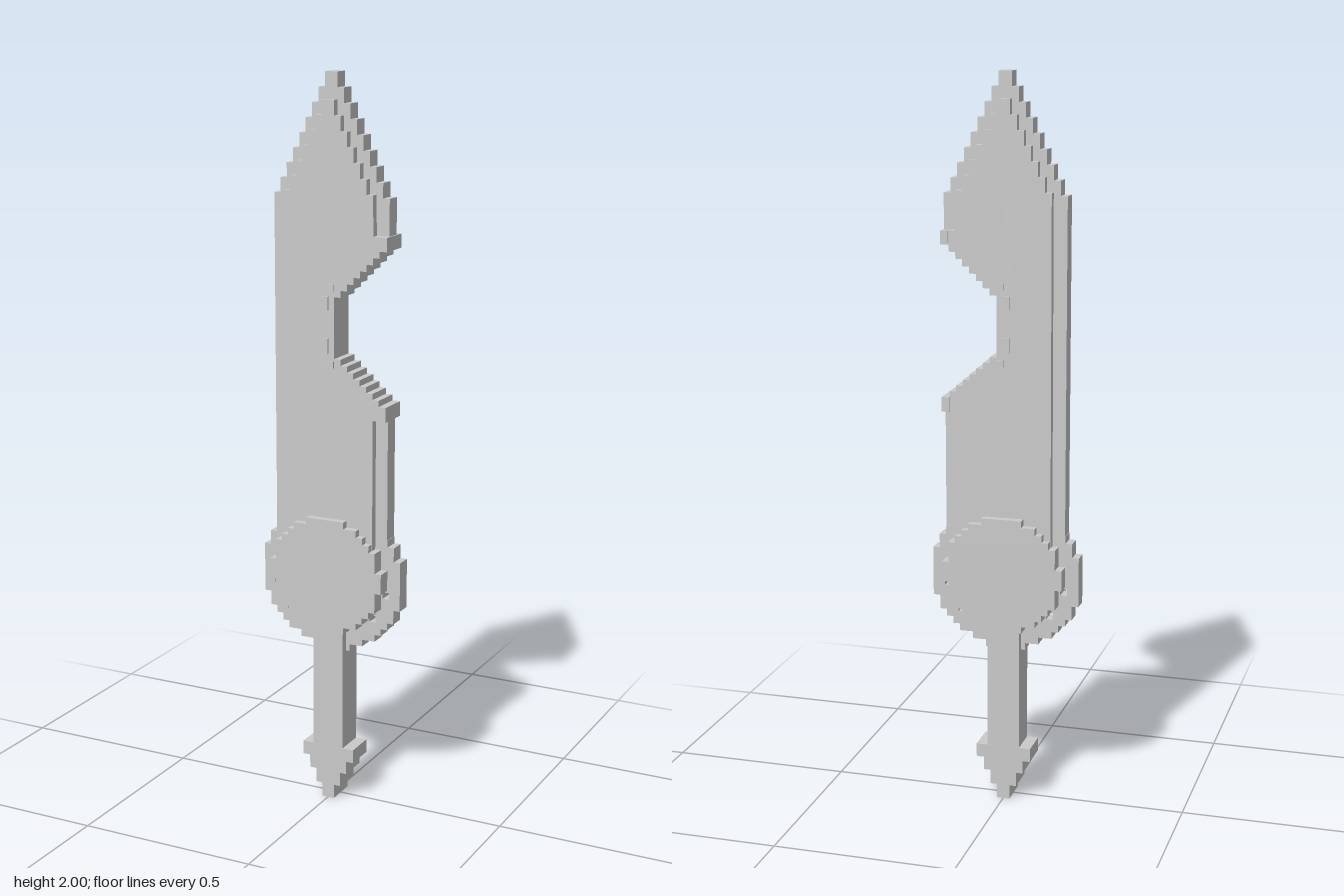
import * as THREE from 'three';

const U = 0.0187; // width of one stair step

export function createModel() {
  const model = new THREE.Group();
  const grey = new THREE.MeshStandardMaterial({ color: 0xcacaca });
  grey.name = 'lightGrey';

  const add = (name, geometry) => {
    const mesh = new THREE.Mesh(geometry, grey);
    mesh.name = name;
    model.add(mesh);
    return mesh;
  };

  // plate cut from an outline, centred on z = 0
  const plate = (name, points, halfDepth, holes = []) => {
    const shape = new THREE.Shape(points.map(([x, y]) => new THREE.Vector2(x, y)));
    for (const [x, y] of holes) {
      const h = U / 2;
      shape.holes.push(new THREE.Path([[-h, -h], [-h, h], [h, h], [h, -h]]
        .map(([a, b]) => new THREE.Vector2(x + a, y + b))));
    }
    const geometry = new THREE.ExtrudeGeometry(shape, { depth: halfDepth * 2, bevelEnabled: false });
    geometry.translate(0, 0, -halfDepth);
    return add(name, geometry);
  };

  const box = (name, x0, x1, y0, y1, halfDepth) =>
    add(name, new THREE.BoxGeometry(x1 - x0, y1 - y0, halfDepth * 2))
      .position.set((x0 + x1) / 2, (y0 + y1) / 2, 0);

  // symmetric stepped outline from rows [halfWidth, bottom, top], listed upwards
  const stepped = (rows) => {
    const right = rows.flatMap(([w, y0, y1]) => [[w, y0], [w, y1]]);
    return [...right, ...right.map(([x, y]) => [-x, y]).reverse()];
  };

  // stepped disc rows from half-widths counted outwards from the middle row
  const discRows = (widths, cy, rowHeight) => {
    const rows = [];
    for (let i = 1 - widths.length; i < widths.length; i++) {
      rows.push([widths[Math.abs(i)] * U, cy + (i - 0.5) * rowHeight, cy + (i + 0.5) * rowHeight]);
    }
    return rows;
  };

  // blade outline: straight body, notch on one side, stepped tip
  const blade = (halfWidth, tipY, steps) => {
    const points = [[-halfWidth, 0.64], [halfWidth, 0.64], [halfWidth, 1.10], [0.168, 1.10]];
    for (let i = 0; i < 8; i++) { // lower stairs of the notch
      const y = 1.14 + i * 0.0165;
      points.push([0.168 - i * U, y], [0.168 - (i + 1) * U, y]);
    }
    for (let i = 7; i >= 0; i--) { // upper stairs of the notch
      const y = 1.55 - i * 0.0185;
      points.push([0.168 - (i + 1) * U, y], [0.168 - i * U, y]);
    }
    points.push([0.168, 1.587], [halfWidth, 1.587]);
    const tip = [];
    for (let k = steps - 1; k >= 0; k--) {
      const w = 0.018 + k * U;
      const top = tipY - k * 0.0395;
      tip.push([w, top - 0.0395], [w, top]);
    }
    points.push(...tip, ...tip.map(([x, y]) => [-x, y]).reverse());
    return points;
  };

  // blade: thin cutting edge with a thicker body over it
  plate('bladeEdge', blade(0.167, 2, 9), 0.022);
  plate('bladeBody', blade(0.132, 1.93, 7), 0.042);

  // raised ends and studs around the notch
  box('upperNotchTab', 0.15, 0.171, 1.55, 1.587, 0.045);
  box('lowerNotchTab', 0.15, 0.171, 1.10, 1.14, 0.045);
  for (const [x, y, h] of [[-0.008, 1.403, 0.036], [-0.008, 1.289, 0.04], [0.008, 1.446, 0.018], [0.008, 1.24, 0.018]]) {
    box('notchStud', x - U / 2, x + U / 2, y - h / 2, y + h / 2, 0.047);
  }

  // round guard: thin ring around a thick disc, with small gaps between
  const gaps = [-1, 1].flatMap((s) => [[s * 0.164, 0.613], [s * 0.125, 0.541]]);
  plate('guardRing', stepped(discRows([11, 11, 11, 11, 10, 10, 9, 8, 7, 5, 3], 0.643, 0.0196)), 0.022, gaps);
  plate('guardDisc', stepped(discRows([9, 9, 8, 8, 8, 7, 6, 5, 3], 0.657, U)), 0.063);

  // grip and stepped pommel
  box('grip', -0.045, 0.045, 0.15, 0.52, 0.043);
  plate('pommel', stepped([[0.018, 0, 0.04], [0.037, 0.04, 0.08], [0.056, 0.08, 0.117], [0.077, 0.117, 0.155]]), 0.0435);

  return model;
}
